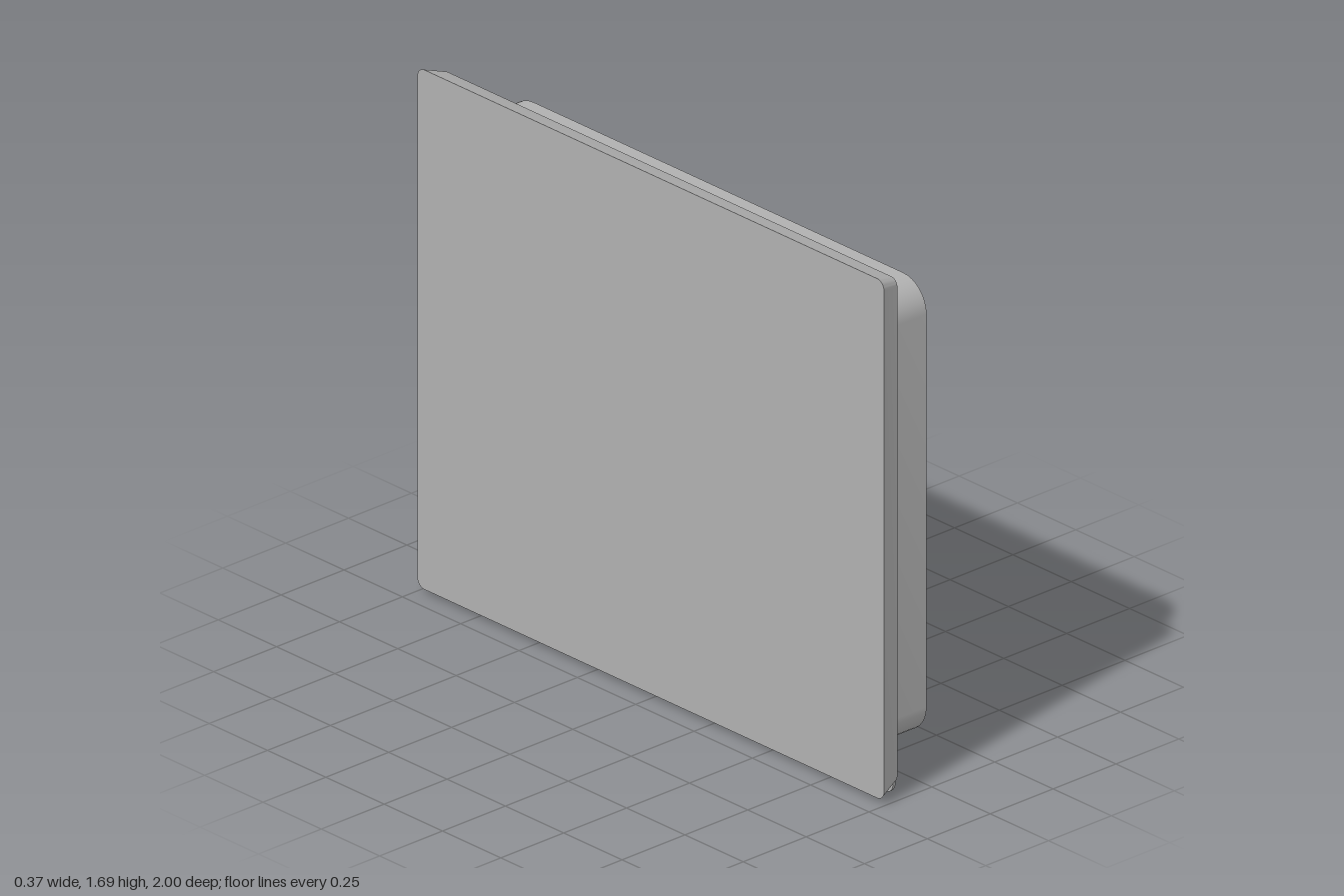
import * as THREE from 'three';
import { toCreasedNormals } from 'three/addons/utils/BufferGeometryUtils.js';

const CORNER_STEPS = 8;

// Rounded rectangle in the y-z plane, counter-clockwise about +x
function ring({ x, y0, y1, z0, z1, r }) {
  const pts = [];
  const corners = [[y1 - r, z1 - r], [y0 + r, z1 - r], [y0 + r, z0 + r], [y1 - r, z0 + r]];
  corners.forEach(([cy, cz], q) => {
    for (let i = 0; i <= CORNER_STEPS; i++) {
      const a = (q + i / CORNER_STEPS) * Math.PI / 2;
      pts.push([x, cy + r * Math.cos(a), cz + r * Math.sin(a)]);
    }
  });
  return pts;
}

// Closed skin through a series of rings running toward +x
function loft(sections) {
  const rings = sections.map(ring);
  const n = rings[0].length;
  const pos = rings.flat(2);
  const index = [];
  for (let i = 0; i < rings.length - 1; i++) {
    for (let j = 0; j < n; j++) {
      const k = (j + 1) % n;
      const a = i * n + j, b = i * n + k, c = b + n, d = a + n;
      index.push(a, b, c, a, c, d);
    }
  }
  const first = sections[0], last = sections[sections.length - 1];
  const c0 = rings.length * n, c1 = c0 + 1, end = (rings.length - 1) * n;
  for (const s of [first, last]) pos.push(s.x, (s.y0 + s.y1) / 2, (s.z0 + s.z1) / 2);
  for (let j = 0; j < n; j++) {
    const k = (j + 1) % n;
    index.push(c0, k, j, c1, end + j, end + k);
  }
  const g = new THREE.BufferGeometry();
  g.setAttribute('position', new THREE.Float32BufferAttribute(pos, 3));
  g.setIndex(index);
  return toCreasedNormals(g, 0.6);
}

// Copy of a section moved to x, with its outline drawn in by d
const inset = (s, x, d, r = Math.max(s.r - d, 0.005)) =>
  ({ x, y0: s.y0 + d, y1: s.y1 - d, z0: s.z0 + d, z1: s.z1 - d, r });

// Copy of a section moved to x and scaled about its centre
function scaled(s, x, f) {
  const cy = (s.y0 + s.y1) / 2, cz = (s.z0 + s.z1) / 2;
  const hy = (s.y1 - s.y0) / 2 * f, hz = (s.z1 - s.z0) / 2 * f;
  return { x, y0: cy - hy, y1: cy + hy, z0: cz - hz, z1: cz + hz, r: s.r * f };
}

export function createModel() {
  const model = new THREE.Group();
  const grey = new THREE.MeshStandardMaterial({ color: 0xb0b0b0 });
  grey.name = 'grey';
  const add = (name, sections) => {
    const mesh = new THREE.Mesh(loft(sections), grey);
    mesh.name = name;
    model.add(mesh);
  };

  // Bevelled back plate
  const back = { x: -0.19, y0: 0.015, y1: 1.69, z0: -1, z1: 1, r: 0.03 };
  add('backPlate', [back, inset(back, -0.115, 0.024, 0.025)]);

  // Thin flange with a rounded front edge, sitting slightly off centre
  const flange = { x: -0.118, y0: 0, y1: 1.63, z0: -0.99, z1: 0.96, r: 0.03 };
  const round = [0, 1, 2, 3, 4].map((i) => {
    const a = i / 4 * Math.PI / 2;
    return inset(flange, -0.112 + 0.01 * Math.sin(a), 0.01 * (1 - Math.cos(a)));
  });
  add('flange', [flange, ...round]);

  // Straight-sided body
  const body = { x: -0.106, y0: 0.085, y1: 1.55, z0: -0.91, z1: 0.875, r: 0.1 };
  const rim = inset(body, 0.095, 0);
  // Domed face: a curved shoulder, then a gentle crown
  const shoulder = [[0.02, 0.107], [0.05, 0.122], [0.09, 0.138], [0.13, 0.15], [0.17, 0.158]]
    .map(([d, x]) => inset(rim, x, d, 0.1));
  const edge = shoulder[shoulder.length - 1];
  const crown = [0.9, 0.75, 0.55, 0.35, 0.15, 0.02]
    .map((f) => scaled(edge, 0.158 + 0.022 * (1 - f ** 2.2), f));
  add('domedBody', [body, rim, ...shoulder, ...crown]);

  return model;
}
